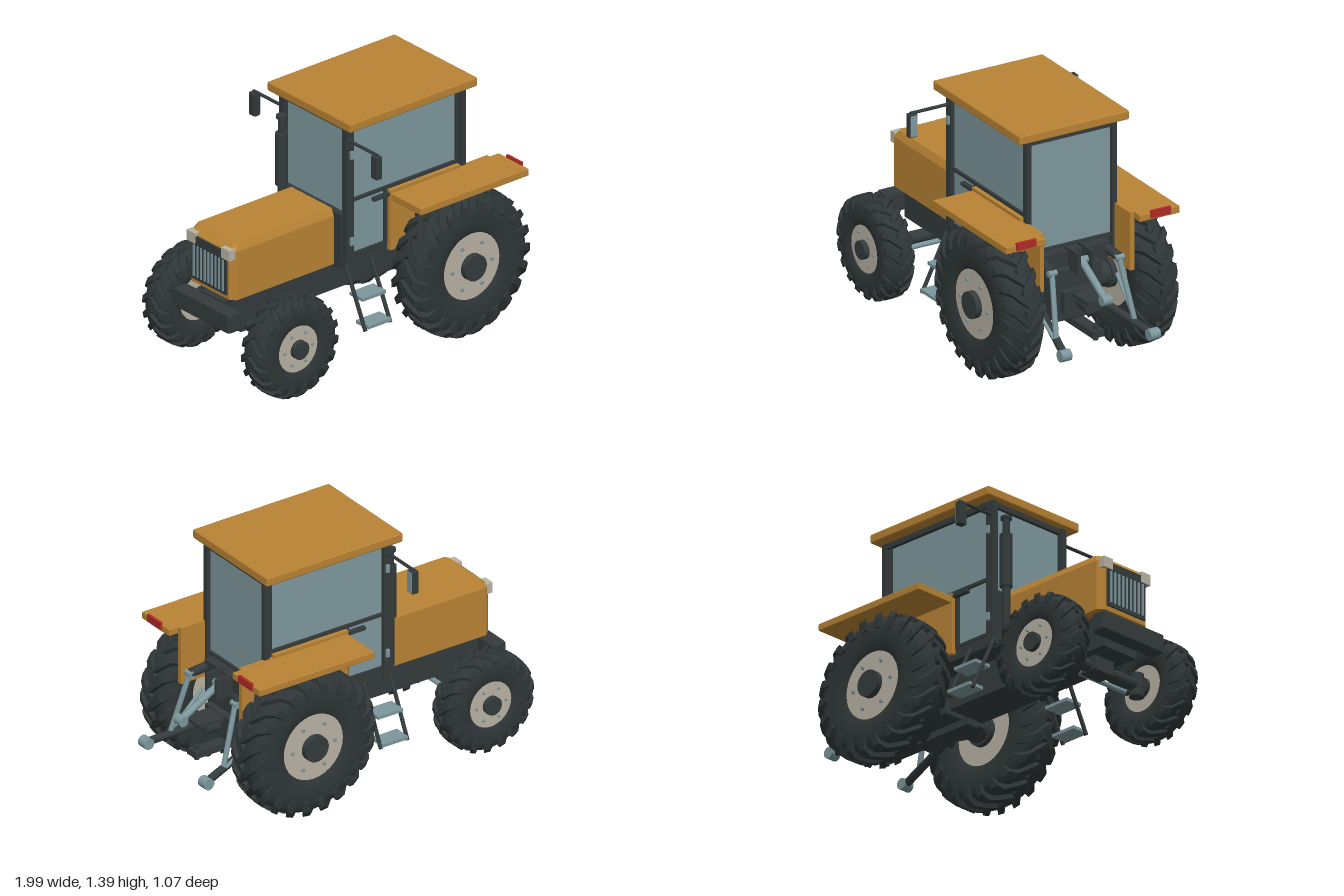
import * as THREE from 'three';
import { RoundedBoxGeometry } from 'three/addons/geometries/RoundedBoxGeometry.js';
import { ConvexGeometry } from 'three/addons/geometries/ConvexGeometry.js';

const paint = (name, color) => Object.assign(new THREE.MeshStandardMaterial({ color }), { name });
const M = {
  orange: paint('orange paint', 0xb98334),
  dark: paint('dark metal', 0x343b3c),
  rubber: paint('tyre rubber', 0x2f3637),
  glass: paint('glass', 0x7e989e),
  steel: paint('blue grey steel', 0x7c979d),
  cream: paint('cream rim', 0xbab3a4),
  red: paint('red lamp', 0xb02a25),
};
const V = (x, y, z) => new THREE.Vector3(x, y, z);

function add(parent, name, geo, mat, x = 0, y = 0, z = 0) {
  const m = new THREE.Mesh(geo, mat);
  m.name = name;
  m.position.set(x, y, z);
  parent.add(m);
  return m;
}

// Box given by its extents; a radius softens the edges
function box(parent, name, mat, [x0, x1], [y0, y1], [z0, z1], radius = 0) {
  const s = [x1 - x0, y1 - y0, z1 - z0];
  const geo = radius ? new RoundedBoxGeometry(...s, 1, radius) : new THREE.BoxGeometry(...s);
  return add(parent, name, geo, mat, (x0 + x1) / 2, (y0 + y1) / 2, (z0 + z1) / 2);
}

// Round bar between two points
function rod(parent, name, mat, a, b, r, r2 = r) {
  const d = b.clone().sub(a);
  const m = add(parent, name, new THREE.CylinderGeometry(r2, r, d.length(), 14), mat);
  m.position.copy(a).add(b).multiplyScalar(0.5);
  m.quaternion.setFromUnitVectors(V(0, 1, 0), d.normalize());
  return m;
}

// Slanted tread bars, running from the middle of the tyre over each shoulder
function treadGeometry(R, w, count, dir) {
  const path = [ // outer z, outer r, inner z, inner r, sweep
    [-0.06, 1, -0.06, 0.9, 0], [0.18, 1, 0.18, 0.9, 0.13], [0.36, 0.985, 0.34, 0.88, 0.24],
    [0.475, 0.9, 0.42, 0.83, 0.3], [0.5, 0.76, 0.44, 0.74, 0.33]];
  const pos = [];
  const step = (Math.PI * 2) / count;
  for (const side of [1, -1]) for (let k = 0; k < count; k++) {
    const base = (k + (side > 0 ? 0 : 0.5)) * step;
    const rows = path.map(([zo, ro, zi, ri, sw]) => {
      const a = base + dir * sw;
      return [[zo, ro, -0.2], [zo, ro, 0.2], [zi, ri, 0.29], [zi, ri, -0.29]].map(([z, r, h]) =>
        [Math.cos(a + h * step) * r * R, Math.sin(a + h * step) * r * R, side * z * w]);
    });
    if (side < 0) rows.reverse();
    const quad = (a, b, c, d) => pos.push(...a, ...b, ...c, ...a, ...c, ...d);
    for (let i = 0; i < rows.length - 1; i++) for (let j = 0; j < 4; j++) {
      const n = (j + 1) % 4;
      quad(rows[i][j], rows[i][n], rows[i + 1][n], rows[i + 1][j]);
    }
    const [a, b, c, d] = rows[0];
    quad(d, c, b, a);
    quad(...rows[rows.length - 1]);
  }
  const g = new THREE.BufferGeometry();
  g.setAttribute('position', new THREE.Float32BufferAttribute(pos, 3));
  g.computeVertexNormals();
  return g;
}

function wheel(parent, name, x, z, R, w, count, side) {
  const g = new THREE.Group();
  g.name = name;
  g.position.set(x, R, z * side);
  if (side < 0) g.rotation.y = Math.PI;
  parent.add(g);
  const half = [[0.45, 0.37], [0.48, 0.42], [0.6, 0.47], [0.74, 0.475], [0.86, 0.43], [0.93, 0.3], [0.94, 0]];
  const profile = [...half.map(([r, z]) => [r, -z]), ...half.slice(0, -1).reverse()]
    .map(([r, z]) => new THREE.Vector2(r * R, z * w));
  add(g, 'tyre', new THREE.LatheGeometry(profile, 48).rotateX(Math.PI / 2), M.rubber);
  add(g, 'tread', treadGeometry(R, w, count, side), M.rubber);
  const disc = (part, mat, r, z0, z1, px = 0, py = 0, n = 32) =>
    add(g, part, new THREE.CylinderGeometry(r, r, z1 - z0, n).rotateX(Math.PI / 2), mat, px, py, (z0 + z1) / 2);
  disc('rim', M.cream, R * 0.46, -0.37 * w, 0.39 * w);
  disc('hub', M.dark, R * 0.18, 0.3 * w, 0.5 * w + 0.01);
  disc('innerHub', M.dark, R * 0.2, -0.5 * w, -0.3 * w);
  for (let i = 0; i < 6; i++) {
    const a = (i * Math.PI) / 3;
    disc('wheelBolt', M.steel, R * 0.025, 0.38 * w, 0.39 * w + 0.01, Math.cos(a) * R * 0.33, Math.sin(a) * R * 0.33, 8);
  }
}

export function createModel() {
  const g = new THREE.Group();
  g.name = 'tractor';

  // Hood with chamfered nose and top edges
  const hood = [];
  for (const s of [1, -1]) {
    for (const y of [0.515, 0.795]) hood.push(V(-0.23, y, 0.18 * s), V(-0.89, y, 0.18 * s), V(-0.92, y, 0.15 * s));
    hood.push(V(-0.23, 0.835, 0.162 * s), V(-0.865, 0.835, 0.162 * s), V(-0.88, 0.835, 0.14 * s));
  }
  add(g, 'hood', new ConvexGeometry(hood), M.orange);
  box(g, 'grille', M.dark, [-0.93, -0.9], [0.54, 0.79], [-0.14, 0.14]);
  for (let i = -4; i <= 4; i++) box(g, 'grilleBar', M.steel, [-0.937, -0.929], [0.56, 0.74], [i * 0.029 - 0.005, i * 0.029 + 0.005]);

  // Chassis, nose weight, axles
  box(g, 'chassis', M.dark, [-0.88, 0.5], [0.33, 0.515], [-0.12, 0.12]);
  box(g, 'noseWeight', M.dark, [-0.985, -0.895], [0.36, 0.47], [-0.225, 0.225], 0.012);
  box(g, 'weightBracket', M.dark, [-0.91, -0.8], [0.38, 0.48], [-0.09, 0.09]);
  rod(g, 'frontAxle', M.dark, V(-0.715, 0.285, -0.34), V(-0.715, 0.285, 0.34), 0.035);
  box(g, 'axlePivot', M.dark, [-0.77, -0.66], [0.25, 0.36], [-0.07, 0.07]);
  rod(g, 'tieRod', M.steel, V(-0.65, 0.265, -0.29), V(-0.65, 0.265, 0.29), 0.014);
  rod(g, 'rearAxle', M.dark, V(0.44, 0.41, -0.33), V(0.44, 0.41, 0.33), 0.07);
  box(g, 'rearHousing', M.dark, [0.25, 0.66], [0.3, 0.6], [-0.145, 0.145], 0.012);
  box(g, 'liftHousing', M.dark, [0.4, 0.64], [0.6, 0.685], [-0.2, 0.2]);

  // Cab core, floor and roof
  box(g, 'cabGlass', M.glass, [-0.19, 0.57], [0.7, 1.32], [-0.25, 0.25]);
  box(g, 'doorLowerGlass', M.glass, [-0.19, 0.06], [0.57, 0.7], [-0.25, 0.25]);
  box(g, 'cabBase', M.dark, [0.06, 0.57], [0.57, 0.7], [-0.25, 0.25]);
  box(g, 'cabFloor', M.dark, [-0.23, 0.5], [0.51, 0.575], [-0.26, 0.26]);
  box(g, 'firewall', M.dark, [-0.23, -0.19], [0.5, 0.82], [-0.24, 0.24]);
  box(g, 'roof', M.orange, [-0.25, 0.62], [1.335, 1.387], [-0.335, 0.335], 0.009);
  box(g, 'roofFrame', M.dark, [-0.21, 0.59], [1.305, 1.337], [-0.272, 0.272]);
  for (const x of [-0.205, 0.565]) box(g, 'cabSill', M.dark, [x, x + 0.02], [0.682, 0.7], [-0.25, 0.25]);

  // Exhaust stack
  rod(g, 'exhaustBase', M.dark, V(-0.255, 0.55, -0.21), V(-0.255, 0.85, -0.21), 0.022);
  rod(g, 'muffler', M.dark, V(-0.255, 0.84, -0.21), V(-0.255, 1.14, -0.21), 0.034);
  rod(g, 'exhaustPipe', M.dark, V(-0.255, 1.14, -0.21), V(-0.255, 1.235, -0.21), 0.02);
  rod(g, 'exhaustLip', M.dark, V(-0.255, 1.225, -0.21), V(-0.255, 1.242, -0.21), 0.03);

  // Everything that repeats on both sides
  for (const s of [1, -1]) {
    const zr = (a, b) => (s > 0 ? [a, b] : [-b, -a]);
    const P = (x, y, z) => V(x, y, z * s);
    wheel(g, 'frontWheel', -0.715, 0.398, 0.285, 0.175, 18, s);
    wheel(g, 'rearWheel', 0.44, 0.41, 0.41, 0.23, 22, s);
    rod(g, 'frontKnuckle', M.dark, P(-0.715, 0.22, 0.29), P(-0.715, 0.35, 0.29), 0.04);
    rod(g, 'steeringArm', M.dark, P(-0.715, 0.265, 0.29), P(-0.645, 0.265, 0.28), 0.016);
    rod(g, 'axleFlange', M.dark, P(0.44, 0.41, 0.145), P(0.44, 0.41, 0.19), 0.11, 0.09);
    box(g, 'headlight', M.cream, [-0.936, -0.89], [0.75, 0.81], zr(0.105, 0.172));

    // Cab posts, door frame, handle and hinges
    box(g, 'frontPost', M.dark, [-0.22, -0.17], [0.51, 1.335], zr(0.235, 0.272));
    box(g, 'rearDoorPost', M.dark, [0.535, 0.55], [0.7, 1.32], zr(0.24, 0.262));
    box(g, 'rearPost', M.dark, [0.56, 0.592], [0.6, 1.335], zr(0.245, 0.275));
    box(g, 'sideRail', M.dark, [-0.18, 0.55], [0.888, 0.906], zr(0.24, 0.264));
    box(g, 'doorPost', M.dark, [0.045, 0.065], [0.575, 0.89], zr(0.24, 0.264));
    box(g, 'doorSill', M.dark, [-0.18, 0.06], [0.572, 0.59], zr(0.24, 0.264));
    box(g, 'doorHandle', M.dark, [-0.045, 0.06], [0.858, 0.876], zr(0.264, 0.29));
    for (const y of [0.67, 1.17]) box(g, 'doorHinge', M.steel, [-0.2, -0.18], [y - 0.022, y + 0.022], zr(0.268, 0.285));

    // Mirror on its arm
    rod(g, 'mirrorArm', M.dark, P(-0.2, 1.255, 0.26), P(-0.2, 1.255, 0.5), 0.009);
    box(g, 'mirrorHousing', M.dark, [-0.222, -0.182], [1.12, 1.252], zr(0.467, 0.515), 0.006);
    box(g, 'mirrorGlass', M.glass, [-0.183, -0.178], [1.128, 1.245], zr(0.472, 0.51));

    // Access steps
    for (const x of [-0.225, -0.055]) rod(g, 'stepRail', M.dark, P(x + 0.008, 0.54, 0.26), P(x + 0.008, 0.21, 0.42), 0.011);
    box(g, 'upperStep', M.steel, [-0.21, -0.05], [0.368, 0.386], zr(0.285, 0.39));
    box(g, 'lowerStep', M.steel, [-0.21, -0.05], [0.224, 0.242], zr(0.335, 0.435));

    // Rear fender and lamp
    box(g, 'fenderTop', M.orange, [0.07, 0.805], [0.83, 0.87], zr(0.285, 0.53), 0.005);
    box(g, 'fenderPanel', M.orange, [0.065, 0.745], [0.54, 0.868], zr(0.262, 0.288));
    box(g, 'fenderLip', M.orange, [0.065, 0.54], [0.86, 0.887], zr(0.255, 0.288));
    box(g, 'tailLamp', M.red, [0.8, 0.815], [0.842, 0.884], zr(0.35, 0.47));

    // Three-point linkage
    rod(g, 'liftArm', M.dark, P(0.58, 0.65, 0.19), P(0.73, 0.625, 0.205), 0.026);
    rod(g, 'liftArmPin', M.steel, P(0.73, 0.625, 0.18), P(0.73, 0.625, 0.23), 0.018);
    rod(g, 'liftRod', M.steel, P(0.73, 0.625, 0.205), P(0.83, 0.29, 0.24), 0.015);
    rod(g, 'lowerArm', M.dark, P(0.55, 0.345, 0.165), P(0.955, 0.262, 0.268), 0.022);
    rod(g, 'lowerArmEnd', M.steel, P(0.962, 0.26, 0.24), P(0.962, 0.26, 0.3), 0.032);
    rod(g, 'linkPin', M.dark, P(0.55, 0.345, 0.13), P(0.55, 0.345, 0.2), 0.03);
    rod(g, 'stabiliser', M.steel, P(0.6, 0.47, 0.27), P(0.83, 0.285, 0.245), 0.01);
    box(g, 'topLinkBracket', M.dark, [0.6, 0.74], [0.58, 0.7], zr(0.034, 0.052));
  }

  // Centre link, power take-off and drawbar
  rod(g, 'topLink', M.steel, V(0.68, 0.645, 0), V(0.925, 0.505, 0), 0.02);
  rod(g, 'topLinkPin', M.steel, V(0.69, 0.64, -0.05), V(0.69, 0.64, 0.05), 0.02);
  rod(g, 'topLinkEnd', M.steel, V(0.93, 0.5, -0.027), V(0.93, 0.5, 0.027), 0.029);
  box(g, 'shaftShield', M.dark, [0.65, 0.86], [0.455, 0.475], [-0.068, 0.068]);
  box(g, 'shieldMount', M.dark, [0.65, 0.7], [0.36, 0.48], [-0.11, 0.11]);
  rod(g, 'driveShaft', M.dark, V(0.65, 0.41, 0), V(0.79, 0.41, 0), 0.04);
  box(g, 'drawbar', M.dark, [0.2, 0.86], [0.262, 0.3], [-0.035, 0.035]);
  rod(g, 'drawbarPin', M.dark, V(0.83, 0.24, 0), V(0.83, 0.325, 0), 0.014);
  return g;
}
